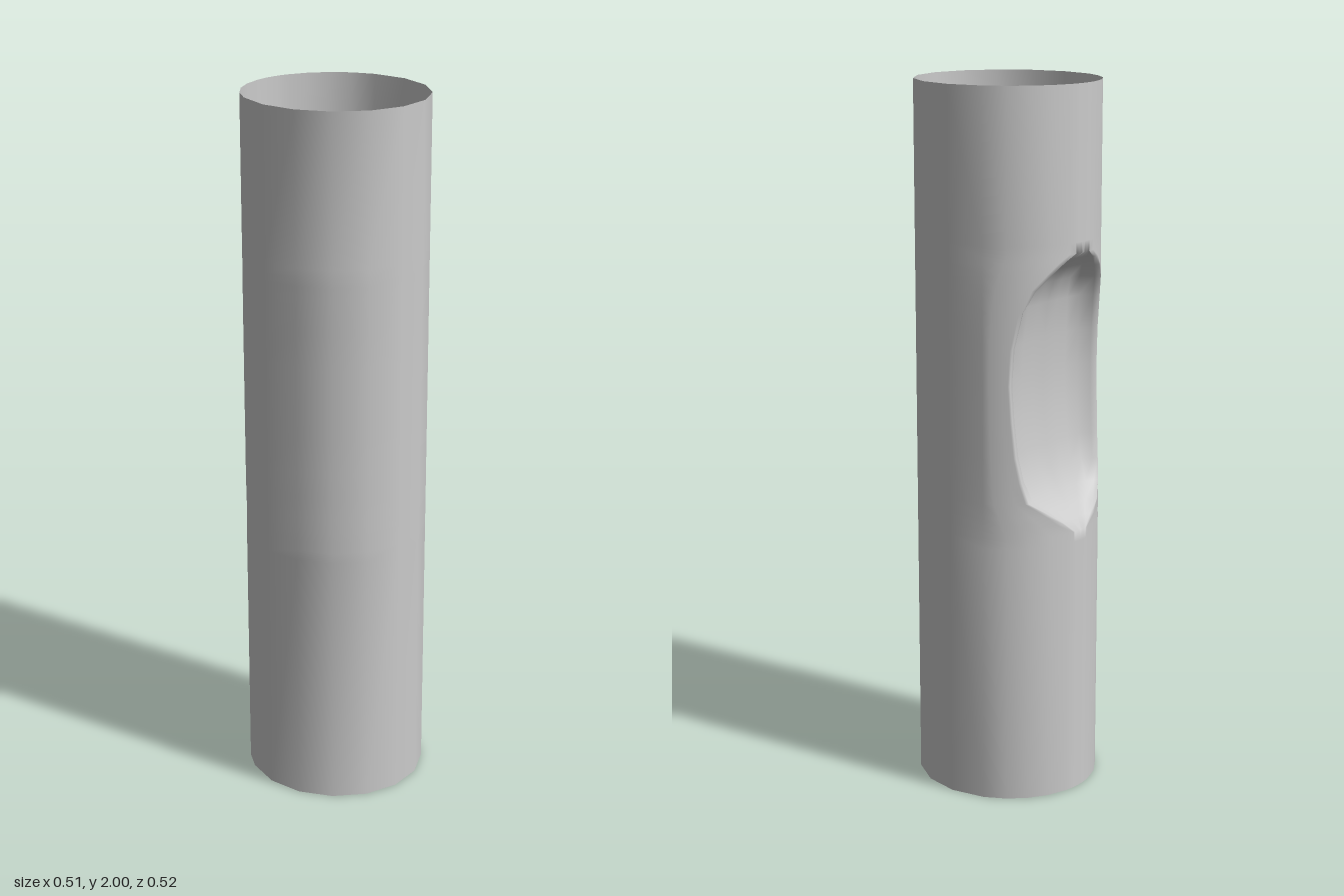
import * as THREE from 'three';

const RX = 0.253, RZ = 0.26;          // tube radii
const STEP = Math.PI / 8;             // 16-sided tube

// Dent outline and depth: [height, half angle of the rim, z of the floor]
const DENT = [
  [0.77, 0.12, -0.257], [0.80, 0.27, -0.235], [0.83, 0.43, -0.212], [0.87, 0.68, -0.182],
  [0.93, 0.76, -0.155], [1.00, 0.82, -0.140], [1.10, 0.86, -0.128], [1.20, 0.885, -0.125],
  [1.30, 0.86, -0.130], [1.40, 0.76, -0.140], [1.46, 0.61, -0.160], [1.50, 0.43, -0.190],
  [1.53, 0.27, -0.230], [1.55, 0.12, -0.257],
];

// Cross-section of the dent: [fraction of rim width, fraction of depth]
const BOWL = [[0, 1], [0.25, 0.99], [0.5, 0.97], [0.77, 0.88], [0.9, 0.2], [1, 0]];

// Angles are measured from the back of the tube
const onTube = (a) => [RX * Math.sin(a), -RZ * Math.cos(a)];

// One closed ring of [x, z] points; floor === null leaves the tube round
function ring(rim, floor) {
  const [w, zRim] = onTube(rim);
  const half = BOWL.map(([f, g]) =>
    floor === null ? onTube(rim * f) : [w * f, THREE.MathUtils.lerp(zRim, floor, g)]);
  // tube wall between the rim and the regular sides
  for (const t of [0.08, 0.3, 0.53, 0.76]) half.push(onTube(THREE.MathUtils.lerp(rim, 3 * STEP, t)));
  for (let i = 3; i <= 8; i++) half.push(onTube(i * STEP));
  const mirrored = half.slice(1, -1).reverse().map(([x, z]) => [-x, z]);
  return [...half, ...mirrored];
}

function dentedTube() {
  const edge = DENT[0][1];
  const last = DENT.length - 1;
  const rows = [
    [0, edge, null], [0.74, edge, null],
    ...DENT.map(([y, a, z], i) => [y, a, i === 0 || i === last ? null : z]),
    [1.58, edge, null], [2, edge, null],
  ];
  const positions = [], index = [];
  let n = 0;
  rows.forEach(([y, rim, floor]) => {
    const points = ring(rim, floor);
    n = points.length;
    points.forEach(([x, z]) => positions.push(x, y, z));
  });
  for (let r = 0; r < rows.length - 1; r++) {
    for (let i = 0; i < n; i++) {
      const a = r * n + i, b = r * n + (i + 1) % n, c = a + n, d = b + n;
      // diagonals mirrored left to right
      if (i < n / 2) index.push(a, c, d, a, d, b);
      else index.push(a, c, b, c, d, b);
    }
  }
  const geometry = new THREE.BufferGeometry();
  geometry.setAttribute('position', new THREE.Float32BufferAttribute(positions, 3));
  geometry.setIndex(index);
  geometry.computeVertexNormals();
  return geometry;
}

export function createModel() {
  const group = new THREE.Group();
  group.name = 'dentedPipe';
  // Open thin-walled tube with the dent pressed into its back
  const tube = new THREE.Mesh(dentedTube(),
    new THREE.MeshStandardMaterial({ color: 0xcccccc, side: THREE.DoubleSide }));
  tube.name = 'tubeWall';
  group.add(tube);
  return group;
}
